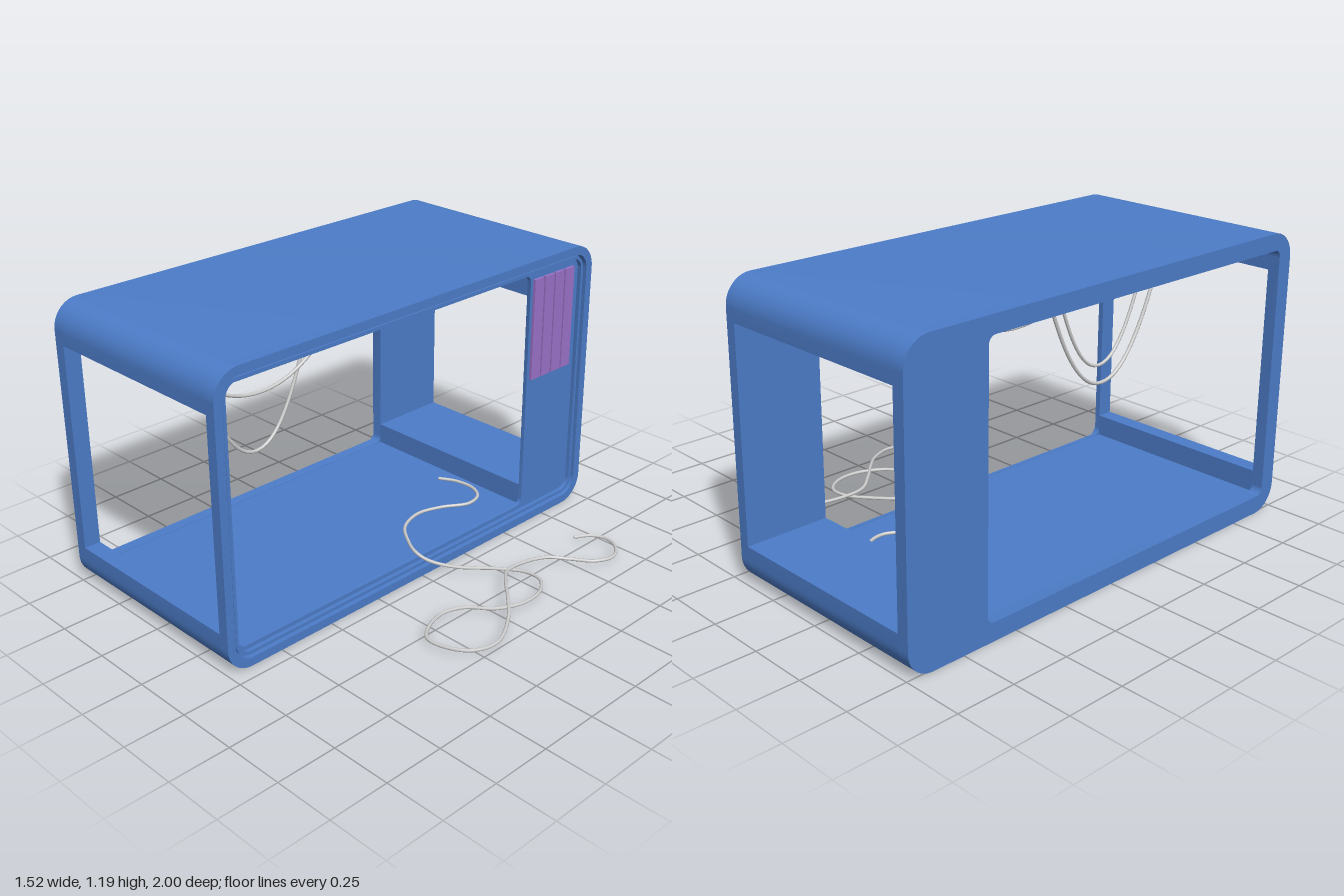
import * as THREE from 'three';
import { toCreasedNormals } from 'three/addons/utils/BufferGeometryUtils.js';

const H = 1.19;
const BACK = 0.64; // depth position of the thick rear frame
const X0 = -0.76, X1 = -0.71, X2 = 0.145, X3 = 0.162, X4 = 0.19;

const blue = new THREE.MeshStandardMaterial({ color: 0x4c7cc8 });
const purple = new THREE.MeshStandardMaterial({ color: 0x9b72c8 });
const grey = new THREE.MeshStandardMaterial({ color: 0xcccccc });

// Rounded rectangle traced on a path or shape (u = -z, v = y)
function roundRect(path, u0, v0, u1, v1, r) {
  path.moveTo(u0 + r, v0);
  path.lineTo(u1 - r, v0);
  path.absarc(u1 - r, v0 + r, r, -Math.PI / 2, 0);
  path.lineTo(u1, v1 - r);
  path.absarc(u1 - r, v1 - r, r, 0, Math.PI / 2);
  path.lineTo(u0 + r, v1);
  path.absarc(u0 + r, v1 - r, r, Math.PI / 2, Math.PI);
  path.lineTo(u0, v0 + r);
  path.absarc(u0 + r, v0 + r, r, Math.PI, Math.PI * 1.5);
  return path;
}

// Rounded outline of the body, inset by d
const outline = (path, d) => roundRect(path, -1 + d, d, 1 - d, H - d, Math.max(0.11 - d, 0.025));

// Extrude a side profile across the width from xa to xb
function slab(group, name, shape, xa, xb) {
  const geo = new THREE.ExtrudeGeometry(shape, { depth: xb - xa, bevelEnabled: false, curveSegments: 10 });
  geo.rotateY(Math.PI / 2).translate(xa, 0, 0);
  const mesh = new THREE.Mesh(toCreasedNormals(geo, 0.6), blue);
  mesh.name = name;
  group.add(mesh);
}

function sideFrame() {
  const shape = outline(new THREE.Shape(), 0);
  shape.holes.push(roundRect(new THREE.Path(), -0.93, 0.075, BACK, 1.12, 0.03));
  return shape;
}

function ring(outer, inner) {
  const shape = outline(new THREE.Shape(), outer);
  shape.holes.push(outline(new THREE.Path(), inner));
  return shape;
}

// Floor or roof profile between the side frames, up to the window edge
function lintel(top) {
  const y = (v) => (top ? H - v : v);
  const edge = top ? H - 1.03 : 0.165;
  const r = 0.11, s = new THREE.Shape();
  const corner = (cu, a0, a1) => {
    for (let i = 0; i <= 10; i++) {
      const a = a0 + (a1 - a0) * i / 10;
      s.lineTo(cu + r * Math.cos(a), y(r + r * Math.sin(a)));
    }
  };
  s.moveTo(-1, y(edge));
  corner(-1 + r, Math.PI, Math.PI * 1.5);
  corner(1 - r, Math.PI * 1.5, Math.PI * 2);
  s.lineTo(1, y(edge));
  s.lineTo(BACK, y(edge));
  s.lineTo(BACK, y(0.073));
  s.lineTo(-0.93, y(0.073));
  s.lineTo(-0.93, y(edge));
  return s;
}

function cable(group, name, points, segments) {
  const curve = new THREE.CatmullRomCurve3(points.map((p) => new THREE.Vector3(...p)));
  const mesh = new THREE.Mesh(new THREE.TubeGeometry(curve, segments, 0.007, 8), grey);
  mesh.name = name;
  group.add(mesh);
  // Rounded tips
  for (const p of [points[0], points[points.length - 1]]) {
    const tip = new THREE.Mesh(new THREE.SphereGeometry(0.007, 8, 6), grey);
    tip.position.set(...p);
    tip.name = name + 'Tip';
    group.add(tip);
  }
}

export function createModel() {
  const model = new THREE.Group();
  model.name = 'openCabin';

  // Shell: side frames, floor and roof
  const shell = new THREE.Group();
  shell.name = 'shell';
  slab(shell, 'rightSideFrame', sideFrame(), X0, X1);
  slab(shell, 'leftSideFrame', sideFrame(), X2, X3);
  slab(shell, 'floor', lintel(false), X1, X2);
  slab(shell, 'roof', lintel(true), X1, X2);

  // Stepped rim around the left opening
  slab(shell, 'outerRim', ring(0, 0.036), X3, X4);
  slab(shell, 'innerRim', ring(0.045, 0.058), X3, 0.18);
  model.add(shell);

  // Slatted vent on the left rear panel
  const vent = new THREE.Group();
  vent.name = 'vent';
  for (let i = 0; i < 4; i++) {
    const slat = new THREE.Mesh(new THREE.BoxGeometry(0.012, 0.44, 0.056), purple);
    slat.position.set(X3 + 0.006, 0.88, -0.683 - i * 0.0645);
    slat.name = 'ventSlat';
    vent.add(slat);
  }
  for (const y of [0.69, 1.07]) {
    const bar = new THREE.Mesh(new THREE.BoxGeometry(0.006, 0.02, 0.245), purple);
    bar.position.set(X3 + 0.003, y, -0.78);
    bar.name = 'ventCrossbar';
    vent.add(bar);
  }
  model.add(vent);

  // Cables sagging from the ceiling: x, start z, end z, lowest y
  const hanging = new THREE.Group();
  hanging.name = 'hangingCables';
  const sags = [[-0.575, 0.41, -0.18, 0.725], [-0.36, 0.26, -0.49, 0.938],
    [-0.21, 0.805, 0.215, 0.603], [-0.095, 0.95, 0.18, 0.905]];
  for (const [x, za, zb, low] of sags) {
    const pts = [];
    for (let i = 0; i <= 16; i++) {
      const t = i / 8 - 1;
      pts.push([x, low + (1.125 - low) * Math.pow(Math.abs(t), 2.1), (za + zb) / 2 + (zb - za) / 2 * t]);
    }
    cable(hanging, 'hangingCable', pts, 48);
  }
  model.add(hanging);

  // Loose cable running from the floor over the sill and across the ground
  cable(model, 'looseCable', [
    [-0.24, 0.085, -0.55], [-0.17, 0.085, -0.585], [-0.08, 0.085, -0.59], [-0.01, 0.085, -0.55],
    [0.01, 0.085, -0.47], [-0.05, 0.085, -0.36], [-0.08, 0.085, -0.25], [-0.04, 0.085, -0.13],
    [0.06, 0.085, -0.05], [0.14, 0.085, -0.01], [0.19, 0.06, -0.03], [0.27, 0.034, -0.1],
    [0.4, 0.03, -0.22], [0.49, 0.03, -0.28], [0.57, 0.03, -0.28], [0.63, 0.03, -0.21],
    [0.64, 0.03, -0.1], [0.59, 0.03, 0.01], [0.5, 0.03, 0.09], [0.47, 0.03, 0.18],
    [0.5, 0.03, 0.29], [0.55, 0.03, 0.345], [0.64, 0.03, 0.335], [0.72, 0.03, 0.28],
    [0.75, 0.032, 0.18], [0.69, 0.047, 0.05], [0.6, 0.062, -0.05], [0.52, 0.06, -0.13],
    [0.46, 0.05, -0.21], [0.455, 0.045, -0.3], [0.49, 0.038, -0.42], [0.56, 0.03, -0.49],
    [0.64, 0.03, -0.55], [0.67, 0.03, -0.63], [0.63, 0.03, -0.7], [0.56, 0.03, -0.73],
    [0.5, 0.03, -0.705], [0.46, 0.03, -0.645],
  ], 240);

  return model;
}
